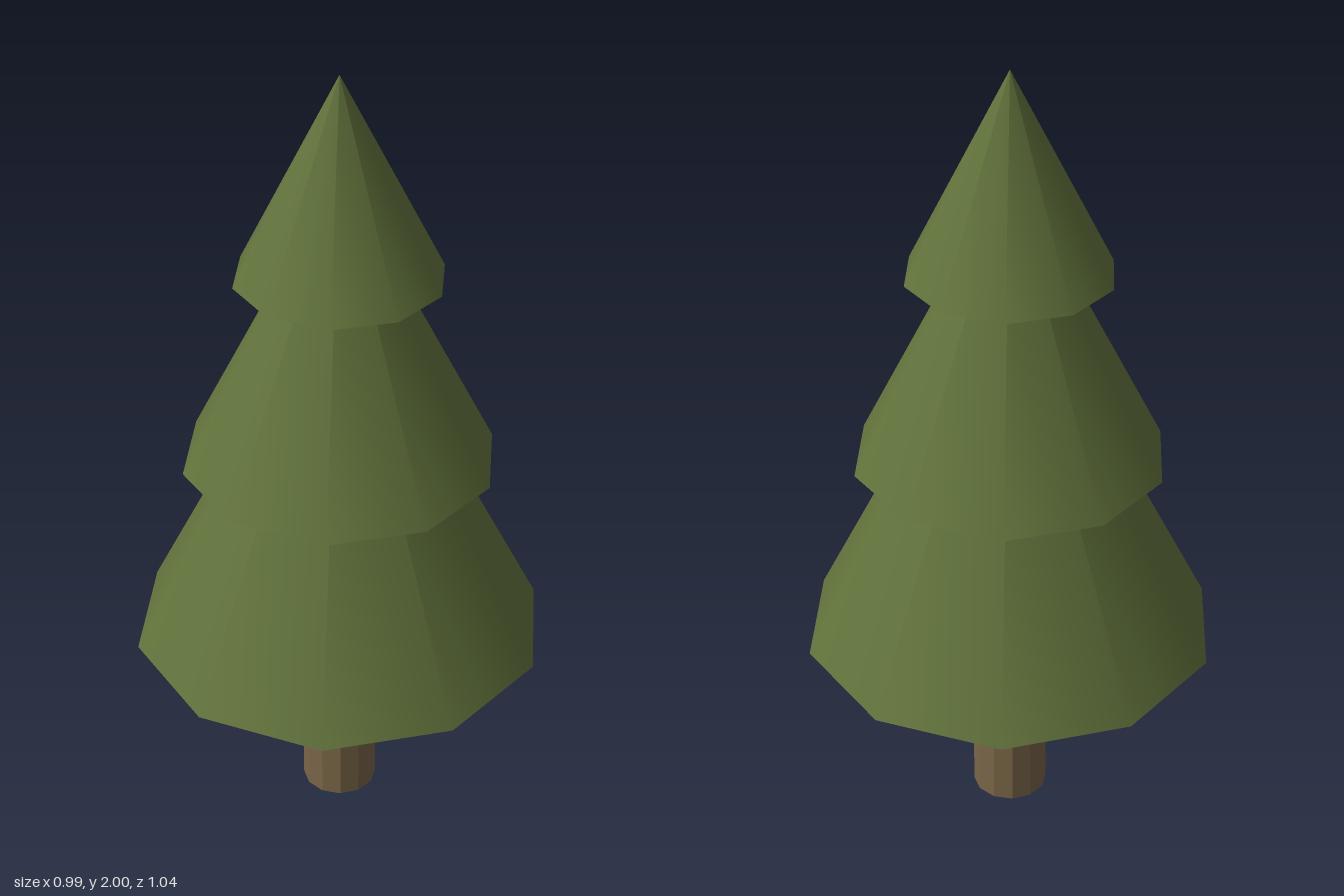
import * as THREE from 'three';

export function createModel() {
  const tree = new THREE.Group();
  tree.name = 'pineTree';

  const bark = new THREE.MeshStandardMaterial({ color: 0x7a6648, flatShading: true });
  const needles = new THREE.MeshStandardMaterial({ color: 0x62733c });

  // Trunk: straight twelve-sided post reaching the lowest branches
  const trunkHeight = 0.52;
  const trunk = new THREE.Mesh(new THREE.CylinderGeometry(0.095, 0.095, trunkHeight, 12), bark);
  trunk.name = 'trunk';
  trunk.position.y = trunkHeight / 2;
  tree.add(trunk);

  // Foliage: three overlapping ten-sided cones of the same proportion
  const tiers = [
    { name: 'lowerFoliage', radius: 0.52, base: 0.51 },
    { name: 'middleFoliage', radius: 0.387, base: 1.01 },
    { name: 'upperFoliage', radius: 0.253, base: 1.5 },
  ];
  for (const { name, radius, base } of tiers) {
    const height = radius * (0.5 / 0.253);
    const cone = new THREE.Mesh(new THREE.ConeGeometry(radius, height, 10), needles);
    cone.name = name;
    cone.position.y = base + height / 2;
    tree.add(cone);
  }

  return tree;
}
